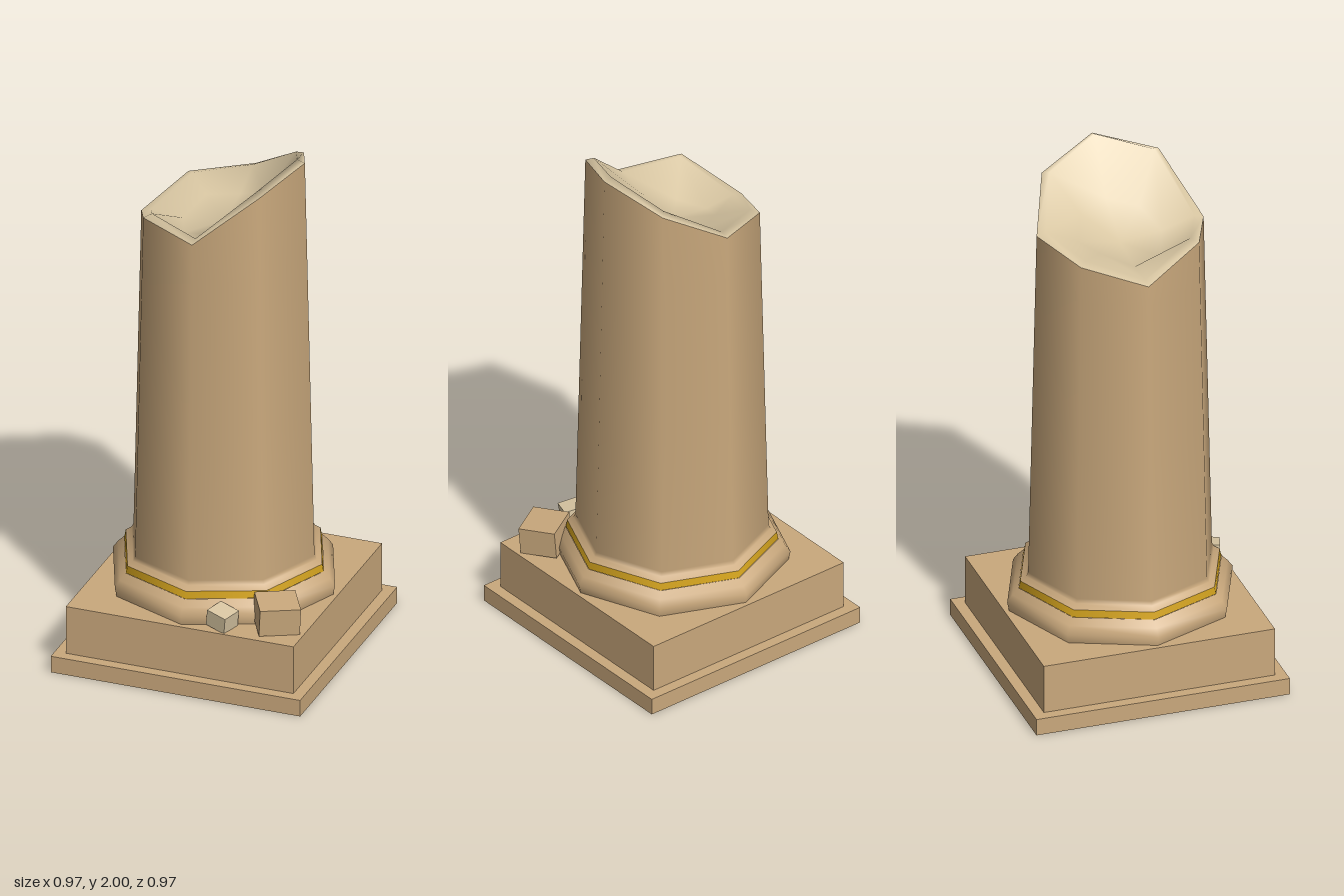
import * as THREE from 'three';
import { mergeVertices } from 'three/addons/utils/BufferGeometryUtils.js';

const SIDES = 8;
const material = (name, color) => {
  const m = new THREE.MeshStandardMaterial({ color });
  m.name = name;
  return m;
};

// Octagonal lathe; profile is a list of [radius, height], starting at +z and turning to +x
const octagon = (profile) =>
  new THREE.LatheGeometry(profile.map(([r, y]) => new THREE.Vector2(r, y)), SIDES);

// Broken edge heights: +z, +x+z, +x, +x-z, -z, -x-z, -x, -x+z
const RIM = [1.75, 1.935, 1.99, 1.91, 1.78, 1.75, 1.68, 1.775];
const HOLLOW = [1.72, 1.77, 1.8, 1.78, 1.73, 1.73, 1.68, 1.68];
const CENTRE = 1.7;
const shaftRadius = (y) => 0.352 - (y - 0.4) * 0.0235;

export function createModel() {
  const group = new THREE.Group();
  const stone = material('sandstone', 0xc9a87c);
  const broken = material('broken stone', 0xd8c6a2);
  const gold = material('gold', 0xd6a51e);

  const add = (name, geometry, mat, position = [0, 0, 0], rotation = [0, 0, 0]) => {
    const mesh = new THREE.Mesh(geometry, mat);
    mesh.name = name;
    mesh.position.set(...position);
    mesh.rotation.set(...rotation);
    group.add(mesh);
  };

  // Square plinth in two steps
  add('plinthFoot', new THREE.BoxGeometry(0.97, 0.065, 0.97), stone, [0, 0.0325, 0]);
  add('plinthBlock', new THREE.BoxGeometry(0.885, 0.19, 0.885), stone, [0, 0.16, 0]);

  // Rounded base moulding and gold band
  add('baseMoulding', octagon([[0.425, 0.255], [0.432, 0.29], [0.412, 0.318], [0.388, 0.342]]), stone);
  add('goldBand', octagon([[0.387, 0.342], [0.382, 0.37]]), gold);

  // Tapered shaft whose top row follows the broken edge
  const rows = [[0.382, 0.37], [0.36, 0.385], [0.352, 0.4], [shaftRadius(1.0), 1.0], [shaftRadius(1.6), 1.6], [0.32, 1.7]];
  const shaft = octagon(rows);
  const sp = shaft.attributes.position;
  for (let i = 0; i <= SIDES; i++) {
    const y = RIM[i % SIDES], a = (i / SIDES) * Math.PI * 2, r = shaftRadius(y);
    sp.setXYZ(i * rows.length + rows.length - 1, r * Math.sin(a), y, r * Math.cos(a));
  }
  add('shaft', shaft, stone);

  // Hollow broken top: rim, raised lip, hollow ring, centre
  const cap = octagon([[0.32, 0], [0.285, 0], [0.16, 0], [0, 0]]);
  const cp = cap.attributes.position;
  for (let i = 0; i <= SIDES; i++) {
    const k = i % SIDES, a = (k / SIDES) * Math.PI * 2;
    const heights = [RIM[k], RIM[k] + 0.01, HOLLOW[k], CENTRE];
    const radii = [shaftRadius(RIM[k]), 0.285, 0.16, 0];
    heights.forEach((y, j) => cp.setXYZ(i * 4 + j, radii[j] * Math.sin(a), y, radii[j] * Math.cos(a)));
  }
  cap.deleteAttribute('normal');
  cap.deleteAttribute('uv');
  const capSmooth = mergeVertices(cap);
  capSmooth.computeVertexNormals();
  add('brokenTop', capSmooth, broken);

  // Fallen rubble on the plinth
  add('largeRubble', new THREE.BoxGeometry(0.15, 0.105, 0.14), stone, [0.332, 0.314, 0.322], [0.08, 0.52, -0.07]);
  add('smallRubble', new THREE.BoxGeometry(0.085, 0.065, 0.078), broken, [0.145, 0.293, 0.388], [0.08, -0.33, -0.12]);

  return group;
}
